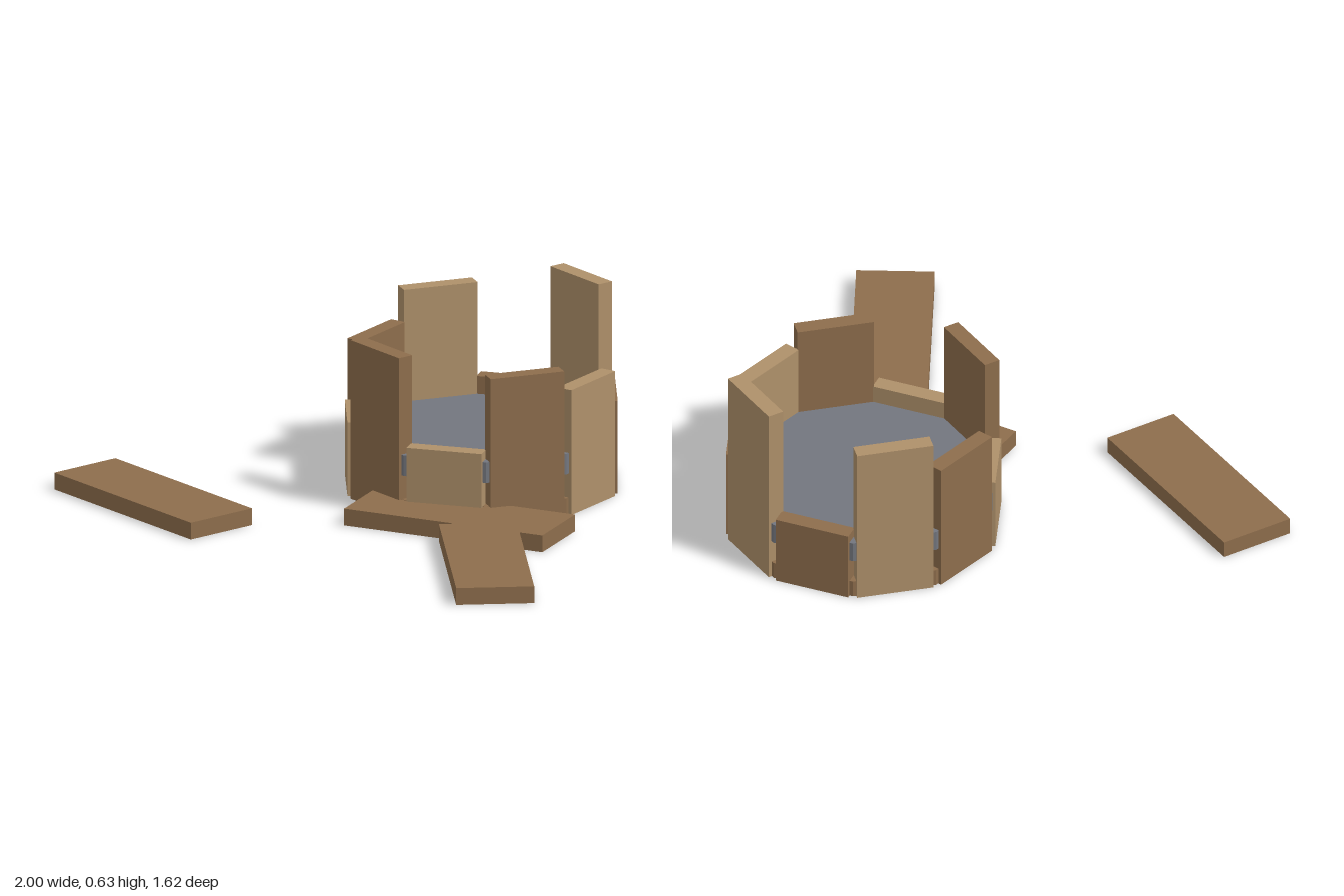
import * as THREE from 'three';

const mat = (name, color) => {
  const m = new THREE.MeshStandardMaterial({ color });
  m.name = name;
  return m;
};

export function createModel() {
  const model = new THREE.Group();
  const brown = mat('dark wood', 0x8d6d4c);
  const tan = mat('light wood', 0xae906a);
  const iron = mat('iron grey', 0x73767e);

  const add = (parent, name, geometry, material, x, y, z, ry = 0) => {
    const mesh = new THREE.Mesh(geometry, material);
    mesh.name = name;
    mesh.position.set(x, y, z);
    mesh.rotation.y = ry;
    parent.add(mesh);
    return mesh;
  };

  // Broken barrel
  const barrel = new THREE.Group();
  barrel.name = 'barrel';
  barrel.position.set(0.115, 0, -0.355);
  model.add(barrel);

  // Staves of uneven height, from +x round towards +z
  const heights = [0.425, 0.495, 0.24, 0.54, 0.25, 0.45, 0.56, 0.24, 0.635, 0.315];
  const step = (Math.PI * 2) / heights.length;
  heights.forEach((h, i) => {
    const a = i * step;
    add(barrel, 'stave', new THREE.BoxGeometry(0.055, h, 0.255), i % 2 ? brown : tan,
      Math.cos(a) * 0.4125, h / 2, Math.sin(a) * 0.4125, -a);
  });

  // Ten-sided prism with its corners in the gaps between staves
  const prism = (r, h) => new THREE.CylinderGeometry(r, r, h, 10).rotateY(Math.PI / 2 + step / 2).toNonIndexed();
  const flat = (g) => { g.computeVertexNormals(); return g; };
  add(barrel, 'floor', flat(prism(0.45, 0.058)), brown, 0, 0.029, 0);
  add(barrel, 'innerDisc', flat(prism(0.42, 0.04)), iron, 0, 0.16, 0);

  // Hoop showing only through the gaps
  const ring = new THREE.Shape();
  const hole = new THREE.Path();
  for (let i = 0; i < 10; i++) {
    const a = (i + 0.5) * step;
    const c = Math.cos(a), s = Math.sin(a);
    ring[i ? 'lineTo' : 'moveTo'](c * 0.452, s * 0.452);
    hole[i ? 'lineTo' : 'moveTo'](c * 0.415, s * 0.415);
  }
  ring.holes.push(hole);
  const hoop = new THREE.ExtrudeGeometry(ring, { depth: 0.07, bevelEnabled: false }).rotateX(-Math.PI / 2);
  add(barrel, 'hoop', hoop, iron, 0, 0.14, 0);

  // Loose planks on the ground: centre x, centre z, direction x, direction z
  for (const [x, z, dx, dz] of [
    [-0.622, 0.462, 0.677, 0.21],
    [0.677, 0.447, 0.445, 0.558],
    [0.335, 0.097, 0.7, -0.115],
  ]) {
    add(model, 'loosePlank', new THREE.BoxGeometry(0.71, 0.057, 0.255), brown, x, 0.0285, z, -Math.atan2(dz, dx));
  }
  return model;
}
